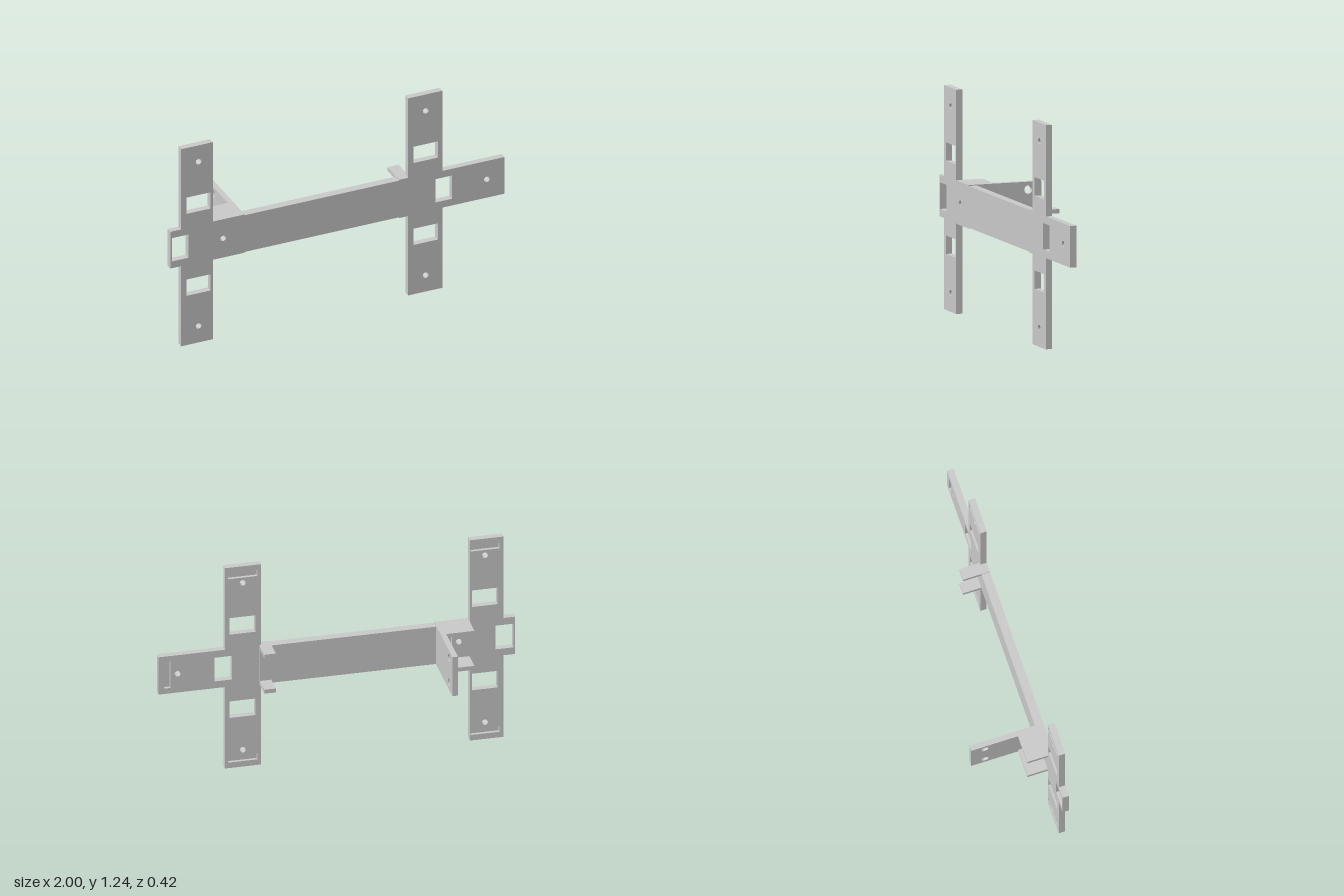
import * as THREE from 'three';

const FRONT = 0.212, BACK = 0.175, POCKET_FLOOR = 0.193;
const TOP = 1.236, ARM_LOW = 0.503, ARM_HIGH = 0.733, MID = 0.618;

// Closed rectangular path from opposite corners
function rectPath(x0, x1, y0, y1) {
  return new THREE.Path([[x0, y0], [x0, y1], [x1, y1], [x1, y0]].map(p => new THREE.Vector2(...p))).closePath();
}

function roundPath(x, y, r) {
  return new THREE.Path().absarc(x, y, r, 0, Math.PI * 2, true);
}

// Outline of the two crosses and the beam joining them
function plateShape() {
  const pts = [
    [-0.935, 0], [-0.746, 0], [-0.746, ARM_LOW], [0.424, ARM_LOW], [0.424, 0], [0.628, 0],
    [0.628, ARM_LOW], [1, ARM_LOW], [1, ARM_HIGH], [0.628, ARM_HIGH], [0.628, TOP], [0.424, TOP],
    [0.424, ARM_HIGH], [-0.746, ARM_HIGH], [-0.746, TOP], [-0.935, TOP], [-0.935, ARM_HIGH],
    [-1, ARM_HIGH], [-1, ARM_LOW], [-0.935, ARM_LOW],
  ];
  const shape = new THREE.Shape(pts.map(p => new THREE.Vector2(...p)));
  // Each cross: windows and screw holes, relative to the post's hole line
  for (const [cx, armX] of [[-0.831, -0.941], [0.528, 0.637]]) {
    for (const s of [-1, 1]) {
      const wy = MID - 0.001 + s * 0.257;
      shape.holes.push(rectPath(cx - 0.072, cx + 0.073, wy - 0.051, wy + 0.051));
      shape.holes.push(roundPath(cx, MID + s * 0.515, 0.017));
    }
    shape.holes.push(rectPath(armX - 0.05, armX + 0.05, MID - 0.073, MID + 0.073));
    shape.holes.push(roundPath(armX + 0.257, MID, 0.017));
  }
  return shape;
}

function extrude(shape, z0, z1) {
  return new THREE.ExtrudeGeometry(shape, { depth: z1 - z0, bevelEnabled: false, curveSegments: 16 })
    .translate(0, 0, z0);
}

export function createModel() {
  const group = new THREE.Group();
  const grey = new THREE.MeshStandardMaterial({ color: 0xcacaca });
  grey.name = 'light grey plastic';

  const add = (name, geometry) => {
    const mesh = new THREE.Mesh(geometry, grey);
    mesh.name = name;
    group.add(mesh);
  };
  const box = (name, x0, x1, y0, y1, z0, z1) =>
    add(name, new THREE.BoxGeometry(x1 - x0, y1 - y0, z1 - z0)
      .translate((x0 + x1) / 2, (y0 + y1) / 2, (z0 + z1) / 2));

  // Front skin of the plate
  add('plateFront', extrude(plateShape(), POCKET_FLOOR, FRONT));

  // Back skin, cut through by the shallow slots at the arm ends
  const backShape = plateShape();
  for (const cx of [-0.831, 0.528]) {
    for (const y of [0.052, TOP - 0.052]) {
      backShape.holes.push(rectPath(cx - 0.082, cx + 0.082, y - 0.018, y + 0.018));
    }
  }
  for (const x of [-0.628, 0.951]) {
    backShape.holes.push(rectPath(x - 0.018, x + 0.018, MID - 0.082, MID + 0.082));
  }
  add('plateBack', extrude(backShape, BACK, POCKET_FLOOR));

  // Thicker middle of the beam
  box('beamRib', -0.56, 0.434, ARM_LOW, ARM_HIGH, 0.164, BACK + 0.004);

  // Upper and lower guide tabs behind each end of the beam
  for (const [y0, y1] of [[0.498, 0.522], [0.715, 0.738]]) {
    box('leftTab', 0.37, 0.424, y0, y1, 0.058, FRONT);
    box('leftTabLip', 0.424, 0.435, y0, y1, 0.058, BACK);
    box('rightTab', -0.744, -0.584, y0, y1, 0.058, FRONT);
  }

  // Upright bracket with two bolt holes, standing out to the rear
  const bracket = new THREE.Shape([[-FRONT, 0.498], [0.212, 0.498], [0.212, 0.738], [-FRONT, 0.738]]
    .map(p => new THREE.Vector2(...p)));
  for (const y of [0.542, 0.694]) bracket.holes.push(roundPath(0.136, y, 0.023));
  add('bracket', extrude(bracket, 0, 0.031).rotateY(Math.PI / 2).translate(-0.586, 0, 0));

  return group;
}
